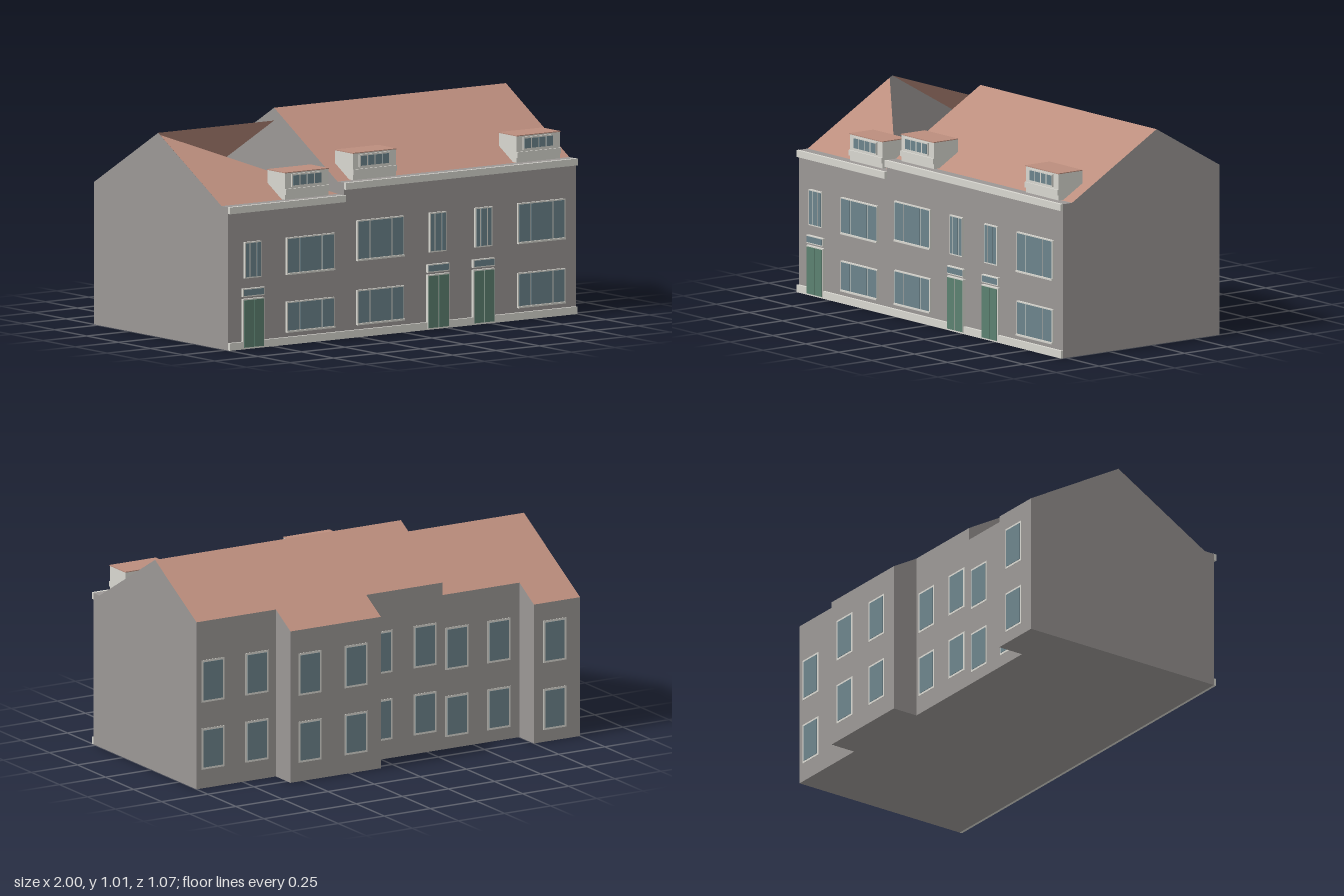
import * as THREE from 'three';

const mat = (name, color) => {
  const m = new THREE.MeshStandardMaterial({ color, side: THREE.DoubleSide });
  m.name = name;
  return m;
};

export function createModel() {
  const wall = mat('grey wall', 0x9b9795);
  const roof = mat('terracotta roof', 0xbb8d7d);
  const trim = mat('pale trim', 0xd8d7d0);
  const glass = mat('blue grey glass', 0x6c838b);
  const green = mat('green door', 0x5c8170);

  const model = new THREE.Group();
  model.name = 'terraceHouses';

  const group = (name) => {
    const g = new THREE.Group();
    g.name = name;
    model.add(g);
    return g;
  };

  // Box given by its limits on each axis
  const box = (parent, name, m, x0, x1, y0, y1, z0, z1) => {
    const mesh = new THREE.Mesh(new THREE.BoxGeometry(x1 - x0, y1 - y0, z1 - z0), m);
    mesh.position.set((x0 + x1) / 2, (y0 + y1) / 2, (z0 + z1) / 2);
    mesh.name = name;
    parent.add(mesh);
  };

  // Flat face fanned from its first corner
  const face = (parent, name, m, pts) => {
    const g = new THREE.BufferGeometry();
    g.setAttribute('position', new THREE.Float32BufferAttribute(pts.flat(), 3));
    const index = [];
    for (let i = 1; i < pts.length - 1; i++) index.push(0, i, i + 1);
    g.setIndex(index);
    g.computeVertexNormals();
    const mesh = new THREE.Mesh(g, m);
    mesh.name = name;
    parent.add(mesh);
  };

  const F = 0.517, EAVE = 0.465, RIDGE = -0.03, BACK = -0.4, EXT = -0.53;
  const tall = { x0: -0.333, x1: 1, ridge: 1.015, eave: 0.727 };
  const low = { x0: -1, x1: -0.333, ridge: 0.955, eave: 0.67 };
  const backY = (h, z) => h.ridge - (RIDGE - z) * 0.576;

  const shell = group('shell');
  const roofs = group('roofs');

  // Cross wall with the house profile
  const gable = (name, h, x, zb) => face(shell, name, wall, [
    [x, 0, zb], [x, 0, F], [x, h.eave, F], [x, h.eave, EAVE], [x, h.ridge, RIDGE], [x, backY(h, zb), zb]]);
  gable('rightGable', tall, 1, BACK);
  gable('partyWall', tall, -0.333, BACK);
  gable('leftGable', low, -1, EXT);

  // Back wall, rear roof slope and floor of one bay
  const bay = (h, x0, x1, zb) => {
    const y = backY(h, zb);
    face(shell, 'backWall', wall, [[x1, 0, zb], [x0, 0, zb], [x0, y, zb], [x1, y, zb]]);
    face(roofs, 'backSlope', roof, [[x1, h.ridge, RIDGE], [x1, y, zb], [x0, y, zb], [x0, h.ridge, RIDGE]]);
    face(shell, 'floor', wall, [[x0, 0, zb], [x1, 0, zb], [x1, 0, F], [x0, 0, F]]);
  };
  bay(low, -1, -0.75, EXT);
  bay(low, -0.75, -0.333, BACK);
  bay(tall, -0.333, 0.08, BACK);
  bay(tall, 0.08, 0.57, EXT);
  bay(tall, 0.57, 1, BACK);

  // Side walls of the rear extensions
  for (const [h, x] of [[low, -0.75], [tall, 0.08], [tall, 0.57]]) {
    face(shell, 'extensionSide', wall, [
      [x, 0, BACK], [x, 0, EXT], [x, backY(h, EXT), EXT], [x, backY(h, BACK), BACK]]);
  }

  // Front wall, eave ledge, fascia and plinth
  for (const h of [low, tall]) {
    face(shell, 'frontWall', wall, [[h.x0, 0, F], [h.x1, 0, F], [h.x1, h.eave, F], [h.x0, h.eave, F]]);
    face(shell, 'eaveLedge', wall, [
      [h.x0, h.eave, F], [h.x1, h.eave, F], [h.x1, h.eave, EAVE], [h.x0, h.eave, EAVE]]);
    box(shell, 'fascia', trim, h.x0, h.x1, h.eave - 0.031, h.eave + 0.001, F, 0.532);
  }
  box(shell, 'plinth', trim, -1, 1, 0, 0.035, F, 0.53);

  // Front slopes: full over the tall houses, a triangle over the low one
  face(roofs, 'frontSlope', roof, [
    [-0.333, tall.eave, EAVE], [1, tall.eave, EAVE], [1, tall.ridge, RIDGE], [-0.333, tall.ridge, RIDGE]]);
  face(roofs, 'partFrontSlope', roof, [
    [-1, low.eave, EAVE], [-0.333, low.eave, EAVE], [-1, 0.947, -0.015]]);

  // Framed window; splits are the pane boundaries from 0 to 1
  const windowAt = (parent, x0, x1, y0, y1, z, dir, depth, splits, edge = 0.006) => {
    const slab = (name, m, a, b, c, d, za, zb) =>
      box(parent, name, m, a, b, c, d, z + Math.min(za * dir, zb * dir), z + Math.max(za * dir, zb * dir));
    slab('windowFrame', trim, x0, x1, y0, y1, 0, depth);
    for (let i = 0; i < splits.length - 1; i++) {
      const a = x0 + edge / 2 + (x1 - x0 - edge) * splits[i];
      const b = x0 + edge / 2 + (x1 - x0 - edge) * splits[i + 1];
      slab('pane', glass, a + edge / 2, b - edge / 2, y0 + edge, y1 - edge, depth, depth + 0.002);
    }
  };

  // Front windows
  const front = group('frontWindows');
  const thirds = [0, 0.26, 0.74, 1];
  const wide = [[-0.67, -0.395, 0.33, 0.5, 0.2], [-0.265, 0.005, 0.36, 0.546, 0.22], [0.66, 0.932, 0.36, 0.546, 0.22]];
  for (const [x0, x1, y0, y1, lowTop] of wide) {
    windowAt(front, x0, x1, y0, y1, F, 1, 0.01, thirds);
    windowAt(front, x0, x1, 0.06, lowTop, F, 1, 0.01, thirds);
    for (const y of [y0, 0.06]) box(front, 'sill', trim, x0, x1, y - 0.004, y + 0.004, F, 0.532);
  }
  for (const [x0, y0, y1] of [[-0.912, 0.33, 0.5], [0.152, 0.36, 0.546], [0.415, 0.36, 0.546]]) {
    windowAt(front, x0, x0 + 0.097, y0, y1, F, 1, 0.01, [0, 0.28, 0.72, 1]);
  }

  // Front doors with a fanlight above
  const doors = group('frontDoors');
  for (const [x0, top] of [[-0.925, 0.235], [0.138, 0.257], [0.4, 0.257]]) {
    const x1 = x0 + 0.124, mid = (x0 + x1) / 2;
    box(doors, 'doorFrame', trim, x0, x1, 0.005, top, F, 0.531);
    box(doors, 'doorLeaf', green, x0 + 0.005, mid - 0.002, 0.008, top - 0.006, 0.531, 0.534);
    box(doors, 'doorLeaf', green, mid + 0.002, x1 - 0.005, 0.008, top - 0.006, 0.531, 0.534);
    windowAt(doors, x0, x1, top + 0.01, top + 0.048, F, 1, 0.014, [0, 1], 0.005);
  }

  // Rear windows, slightly lower on the low house
  const rear = group('rearWindows');
  const columns = [[0.912, BACK], [0.672, BACK], [0.465, EXT], [0.215, EXT], [0, BACK], [-0.238, BACK],
    [-0.412, BACK], [-0.64, BACK], [-0.862, EXT]];
  for (const [x, z] of columns) {
    const drop = x < -0.333 ? 0.033 : 0;
    for (const [y0, y1] of [[0.09, 0.287], [0.412, 0.615]]) {
      windowAt(rear, x - 0.062, x + 0.062, y0 - drop, y1 - drop, z, -1, 0.002, [0, 1], 0.01);
    }
  }

  // Flat-topped dormers with four small panes
  for (const [x0, top] of [[-0.652, 0.8], [-0.262, 0.858], [0.68, 0.858]]) {
    const d = group('dormer');
    const x1 = x0 + 0.249;
    box(d, 'dormerBody', trim, x0, x1, top - 0.128, top - 0.004, 0.35, 0.488);
    box(d, 'dormerRoof', roof, x0 - 0.001, x1 + 0.001, top - 0.004, top, 0.349, 0.491);
    box(d, 'dormerApron', trim, x0, x1, top - 0.104, top - 0.078, 0.488, 0.495);
    windowAt(d, x0 + 0.034, x1 - 0.04, top - 0.07, top - 0.01, 0.488, 1, 0.007, [0, 0.25, 0.5, 0.75, 1], 0.007);
  }

  return model;
}
